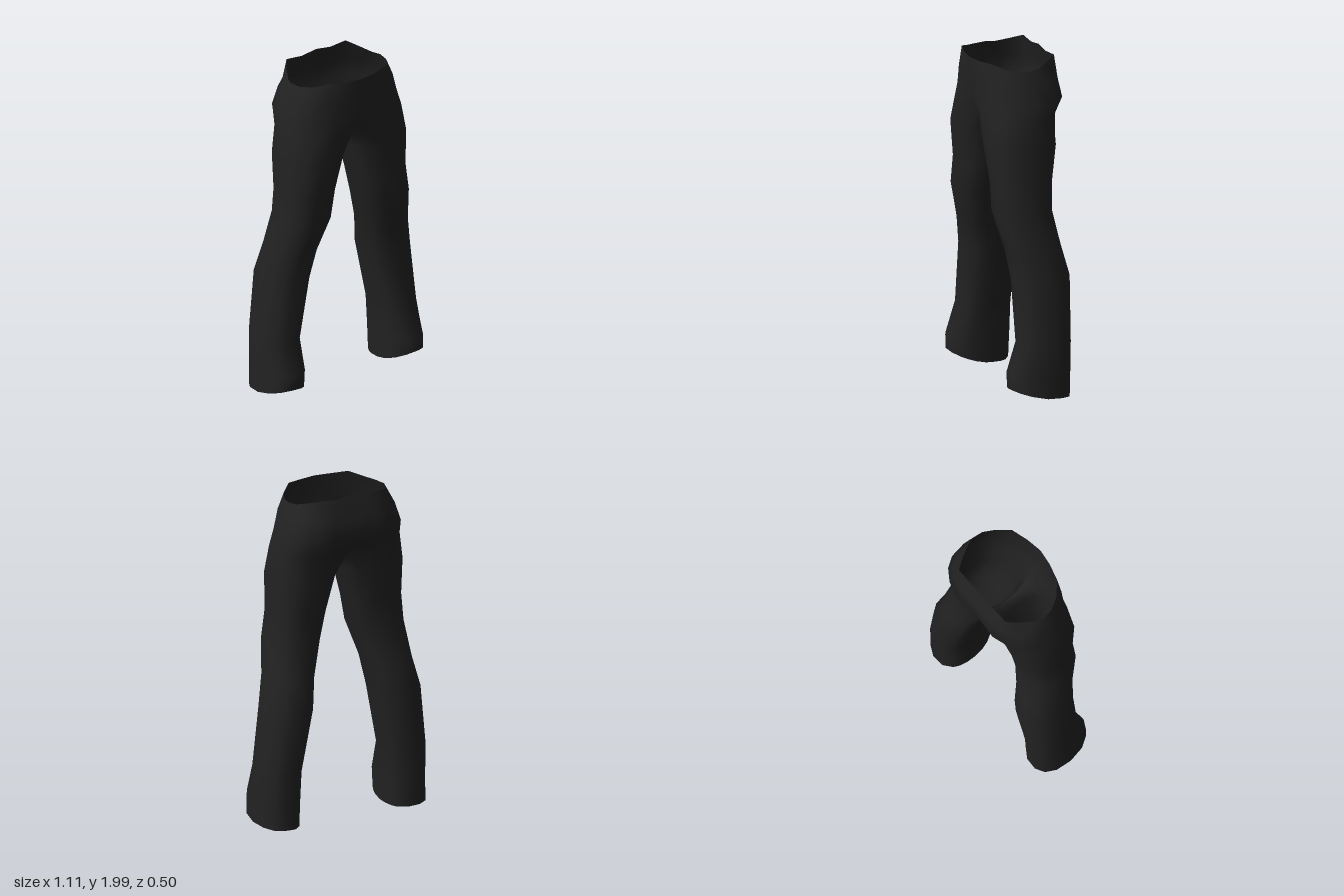
import * as THREE from 'three';

const OUTER = 10; // steps round the outer side, front centre to back centre
const RING = 16;  // points round a whole leg
const soften = (v, e) => Math.sign(v) * Math.abs(v) ** e;

// Waist edge, left half, front centre to back centre: x, y, z
const waist = [
  [0, 1.98, 0.25], [0.1, 1.98, 0.235], [0.2, 1.985, 0.205], [0.27, 1.96, 0.14],
  [0.31, 1.95, 0.07], [0.32, 1.95, 0], [0.3, 1.95, -0.05], [0.26, 1.97, -0.12],
  [0.21, 1.995, -0.19], [0.1, 1.985, -0.19], [0, 2, -0.19],
];

// Half ring round the hips; the creases pull the centre line inwards
function hipRing(y, width, front, back, frontCrease, backCrease) {
  const points = [];
  for (let i = 0; i <= OUTER; i++) {
    const a = (i / OUTER) * Math.PI;
    const end = i === 0 || i === OUTER;
    let z = (front + back) / 2 + ((front - back) / 2) * soften(Math.cos(a), 0.8);
    if (i === 0) z -= frontCrease;
    if (i === OUTER) z += backCrease;
    points.push([end ? 0 : width * Math.sin(a) ** 0.75, y, z]);
  }
  return points;
}

// Closes the lowest hip ring under the crotch, along the centre line
function crotchRing(ring, lowY) {
  const points = [...ring];
  const [back, front] = [ring[OUTER], ring[0]];
  for (let i = 1; i < RING - OUTER; i++) {
    const t = i / (RING - OUTER);
    points.push([0, back[1] + (lowY - back[1]) * Math.sin(Math.PI * t),
      back[2] + (front[2] - back[2]) * t]);
  }
  return points;
}

// Full ring round a leg; the hem ring rises at the front
function legRing([y, inner, outer, back, front], hem = false) {
  const points = [];
  for (let i = 0; i < RING; i++) {
    const degrees = i <= OUTER ? -45 + i * 27 : 225 + (i - OUTER) * 15;
    const a = THREE.MathUtils.degToRad(degrees);
    const s = Math.sin(a), c = Math.cos(a);
    const lift = hem ? (c > 0 ? 0.05 : 0.02) * c - 0.018 * Math.max(0, -s) : 0;
    points.push([
      (inner + outer) / 2 + ((outer - inner) / 2) * soften(s, 0.85),
      y + lift,
      (front + back) / 2 + ((front - back) / 2) * soften(c, 0.85),
    ]);
  }
  return points;
}

export function createModel() {
  const black = new THREE.MeshStandardMaterial({ color: 0x222222, side: THREE.DoubleSide });
  black.name = 'black cloth';

  const hips = [
    waist,
    hipRing(1.86, 0.35, 0.245, -0.24, 0, 0.01),
    hipRing(1.75, 0.383, 0.245, -0.26, 0.01, 0.025),
    hipRing(1.66, 0.4, 0.255, -0.205, 0.06, 0.05),
  ];
  // y, inner x, outer x, back z, front z
  const legSizes = [
    [1.5, 0.03, 0.42, -0.172, 0.243],
    [1.28, 0.085, 0.42, -0.137, 0.217],
    [1.11, 0.12, 0.44, -0.127, 0.22],
    [0.9, 0.187, 0.467, -0.165, 0.166],
    [0.72, 0.217, 0.505, -0.206, 0.138],
    [0.35, 0.29, 0.545, -0.19, 0.136],
    [0.17, 0.292, 0.55, -0.186, 0.197],
    [0.035, 0.295, 0.556, -0.18, 0.192],
  ];
  const leg = [
    crotchRing(hips[3], 1.6),
    ...legSizes.map((size, i) => legRing(size, i === legSizes.length - 1)),
  ];

  // Shared vertices keep the shading smooth across the seams
  const positions = [];
  const known = new Map();
  function vertex([x, y, z], side) {
    const key = [x * side, y, z].map((v) => Math.round(v * 1e4)).join();
    if (!known.has(key)) {
      known.set(key, positions.length / 3);
      positions.push(x * side, y, z);
    }
    return known.get(key);
  }

  // Joins successive rings, top to bottom, into faces
  function skin(rings, side, closed) {
    const faces = [];
    for (let r = 0; r < rings.length - 1; r++) {
      const n = rings[r].length;
      for (let i = 0; i < (closed ? n : n - 1); i++) {
        const j = (i + 1) % n;
        const a = vertex(rings[r][i], side), b = vertex(rings[r + 1][i], side);
        const c = vertex(rings[r + 1][j], side), d = vertex(rings[r][j], side);
        if (side > 0) faces.push(a, b, c, a, c, d);
        else faces.push(a, c, b, a, d, c);
      }
    }
    return faces;
  }

  const parts = {
    hips: [...skin(hips, 1, false), ...skin(hips, -1, false)],
    leftLeg: skin(leg, 1, true),
    rightLeg: skin(leg, -1, true),
  };

  const whole = new THREE.BufferGeometry();
  whole.setAttribute('position', new THREE.Float32BufferAttribute(positions, 3));
  whole.setIndex(Object.values(parts).flat());
  whole.computeVertexNormals();

  const group = new THREE.Group();
  group.name = 'trousers';
  for (const [name, faces] of Object.entries(parts)) {
    const geometry = new THREE.BufferGeometry();
    geometry.setAttribute('position', whole.getAttribute('position'));
    geometry.setAttribute('normal', whole.getAttribute('normal'));
    geometry.setIndex(faces);
    const mesh = new THREE.Mesh(geometry, black);
    mesh.name = name;
    group.add(mesh);
  }
  return group;
}
